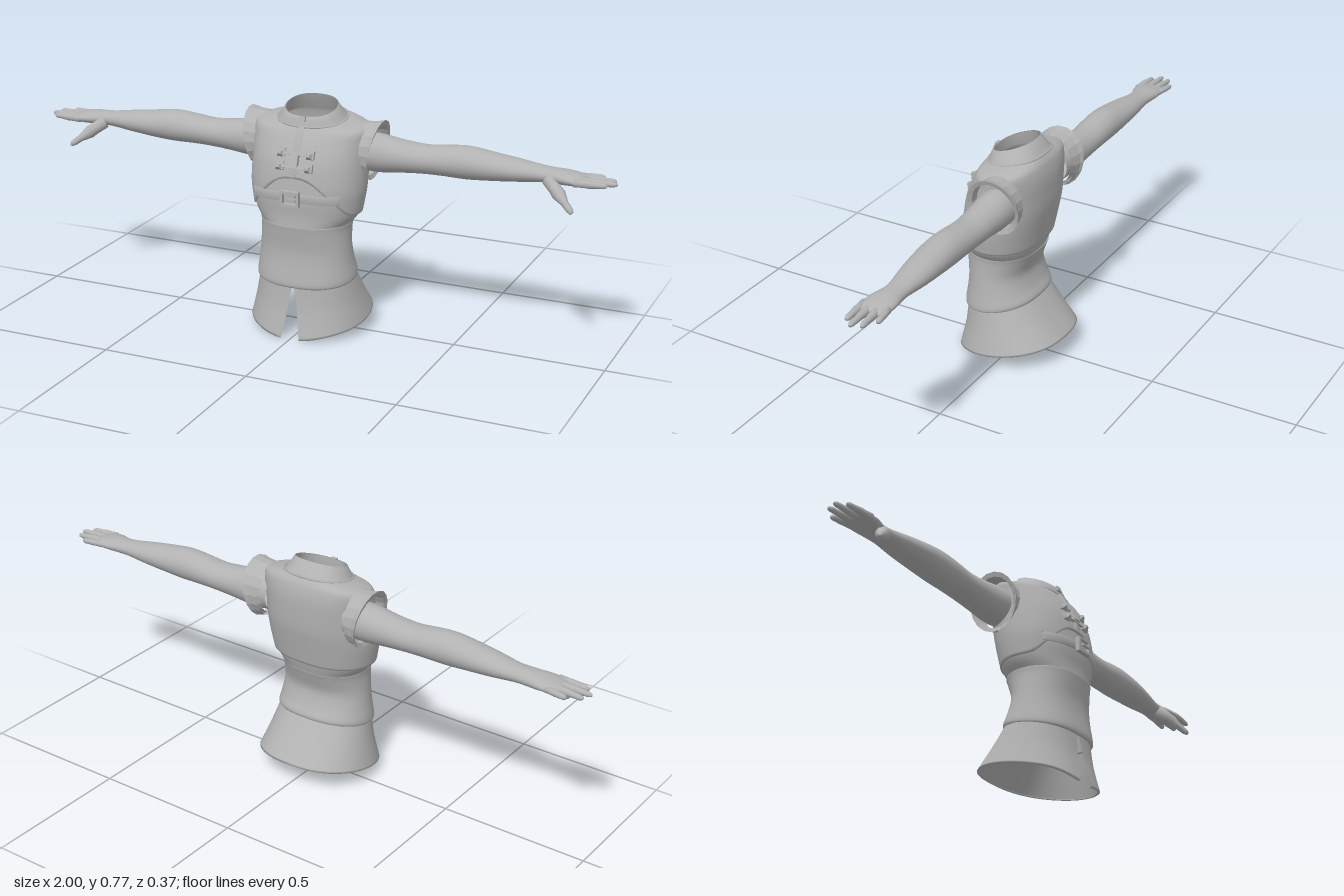
import * as THREE from 'three';

const grey = new THREE.MeshStandardMaterial({ color: 0xb2b2b2, side: THREE.DoubleSide });
grey.name = 'plain grey';

const lerp = THREE.MathUtils.lerp;

// Catmull-Rom sample of a list of section arrays at fractional index s
function sample(list, s) {
  const n = list.length - 1;
  const i = Math.max(0, Math.min(n - 1, Math.floor(s))), t = s - i;
  const [a, b, c, d] = [i - 1, i, i + 1, i + 2].map(k => list[Math.max(0, Math.min(n, k))]);
  return b.map((p, k) => p + 0.5 * t * (c[k] - a[k] +
    t * (2 * a[k] - 5 * p + 4 * c[k] - d[k] + t * (3 * (p - c[k]) + d[k] - a[k]))));
}

// Skin over a grid of points: point(u row, v column) -> [x, y, z]
function loft(name, rows, cols, closed, point) {
  const pos = [], index = [], w = closed ? cols : cols + 1;
  for (let i = 0; i <= rows; i++)
    for (let j = 0; j < w; j++) pos.push(...point(i, j / cols));
  for (let i = 0; i < rows; i++)
    for (let j = 0; j < cols; j++) {
      const k = (j + 1) % w, a = i * w + j, b = i * w + k, c = a + w, d = b + w;
      index.push(a, b, d, a, d, c);
    }
  const g = new THREE.BufferGeometry();
  g.setAttribute('position', new THREE.Float32BufferAttribute(pos, 3));
  g.setIndex(index);
  g.computeVertexNormals();
  return mesh(name, g);
}

function mesh(name, geometry) {
  const m = new THREE.Mesh(geometry, grey);
  m.name = name;
  return m;
}

function box(name, w, h, d, x, y, z, tilt = 0) {
  const m = mesh(name, new THREE.BoxGeometry(w, h, d));
  m.position.set(x, y, z);
  m.rotation.x = tilt;
  return m;
}

// Point on a body section [front y, back y, half width, front z, back z]; angle 0 is the front
function around([yf, yb, rx, zf, zb], a, inset = 0) {
  const c = Math.cos(a), s = Math.sin(a);
  return [
    (rx - inset) * Math.sign(s) * Math.abs(s) ** 0.8,
    lerp(yb, yf, (1 + c) / 2),
    (zf + zb) / 2 + ((zf - zb) / 2 - inset) * c
  ];
}

const TAU = Math.PI * 2;
const vestSections = [
  [0.42, 0.42, 0.183, 0.152, -0.092], [0.46, 0.46, 0.19, 0.155, -0.1],
  [0.50, 0.50, 0.195, 0.156, -0.108], [0.55, 0.55, 0.196, 0.150, -0.117],
  [0.60, 0.60, 0.195, 0.138, -0.12], [0.65, 0.66, 0.196, 0.115, -0.12],
  [0.68, 0.70, 0.195, 0.097, -0.112], [0.69, 0.717, 0.165, 0.09, -0.104],
  [0.70, 0.73, 0.112, 0.082, -0.094]
];
const bandSections = [
  [0.382, 0.382, 0.15, 0.15, -0.076], [0.42, 0.42, 0.176, 0.148, -0.087],
  [0.48, 0.48, 0.187, 0.151, -0.1], [0.57, 0.57, 0.188, 0.14, -0.112]
];
const waistSections = [
  [0.376, 0.376, 0.148, 0.15, -0.074], [0.385, 0.385, 0.153, 0.158, -0.082],
  [0.36, 0.36, 0.151, 0.155, -0.073], [0.30, 0.31, 0.154, 0.148, -0.058],
  [0.25, 0.26, 0.160, 0.151, -0.07], [0.19, 0.225, 0.168, 0.16, -0.087],
  [0.175, 0.21, 0.166, 0.155, -0.082], [0.18, 0.215, 0.158, 0.148, -0.077]
];
const skirtSections = [
  [0.19, 0.222, 0.160, 0.15, -0.078], [0.105, 0.155, 0.178, 0.160, -0.128],
  [0.02, 0.085, 0.2, 0.181, -0.185]
];

// Depth of the vest front at x, y
function frontZ(x, y) {
  let s = 0;
  while (s < 8 && sample(vestSections, s)[0] < y) s += 0.02;
  const sec = sample(vestSections, s);
  return around(sec, Math.asin(Math.min(1, Math.abs(x) / sec[2]) ** 1.25))[2];
}

function buildTorso(g) {
  // Vest, its lower edge lifted to an inverted V at the front
  g.add(loft('vest', 33, 64, true, (i, v) => {
    const a = v * TAU;
    const s0 = 2.9 * Math.max(0, Math.cos(a)) ** 3.5;
    return around(sample(vestSections, lerp(s0, 8, Math.max(0, i - 1) / 32)), a, i ? 0 : 0.008);
  }));
  g.add(loft('underBand', 12, 64, true, (i, v) => around(sample(bandSections, i / 4), v * TAU)));
  g.add(loft('waist', 35, 64, true, (i, v) => around(sample(waistSections, i / 5), v * TAU)));

  // Flared skirt with a slit at the front and a turned hem
  g.add(loft('skirt', 17, 72, false, (i, v) => {
    const t = Math.min(i, 16) / 16;
    const gap = 0.105 * t, a = lerp(gap, TAU - gap, v);
    const p = around(sample(skirtSections, t * 2), a, i > 16 ? 0.008 : 0);
    p[1] -= 0.016 * t * t * Math.max(0, Math.cos(a)) ** 10;
    return p;
  }));

  // Slanted collar with thickness, and the seam at its base
  const collar = [[0.698, 0.728, 0.114, 0.083, -0.095], [0.715, 0.745, 0.1, 0.079, -0.082],
    [0.73, 0.772, 0.088, 0.073, -0.062], [0.73, 0.77, 0.083, 0.067, -0.057],
    [0.69, 0.72, 0.1, 0.07, -0.082]];
  g.add(loft('collar', 4, 48, true, (i, v) => around(collar[i], v * TAU)));
  const seam = Array.from({ length: 32 }, (_, i) =>
    new THREE.Vector3(...around([0.698, 0.729, 0.116, 0.084, -0.096], i / 32 * TAU)));
  g.add(mesh('collarSeam', new THREE.TubeGeometry(new THREE.CatmullRomCurve3(seam, true), 64, 0.004, 6, true)));
  g.add(box('collarClasp', 0.022, 0.018, 0.012, 0, 0.722, 0.077, -0.3));
}

function buildFastenings(g) {
  // Front placket following the chest
  g.add(loft('placket', 12, 3, false, (i, v) => {
    const y = lerp(0.55, 0.70, i / 12), side = v === 0 || v === 1;
    return [(v < 0.5 ? -1 : 1) * 0.011, y, frontZ(0, y) + (side ? -0.006 : 0.005)];
  }));
  // Two rows of clasps with studs at the ends
  for (const y of [0.622, 0.582]) {
    const tilt = -0.38;
    g.add(box('claspBar', 0.1, 0.011, 0.008, 0, y, frontZ(0.03, y) + 0.004, tilt));
    for (const x of [-0.05, 0.05]) {
      const z = frontZ(x, y);
      g.add(box('claspPlate', 0.03, 0.028, 0.01, x, y, z + 0.002, tilt));
      const stud = mesh('claspStud', new THREE.CylinderGeometry(0.006, 0.016, 0.013, 4).toNonIndexed());
      stud.geometry.rotateY(Math.PI / 4);
      stud.geometry.computeVertexNormals();
      stud.position.set(x, y, z + 0.012);
      stud.rotation.x = Math.PI / 2 + tilt;
      g.add(stud);
    }
  }
  g.add(box('claspCentre', 0.03, 0.04, 0.012, 0, 0.602, frontZ(0, 0.602) + 0.006, -0.35));

  // Chest strap and its buckle
  g.add(loft('strap', 3, 32, false, (i, v) => {
    const x = lerp(-0.15, 0.15, v), y = (i === 0 || i === 3 ? 0 : 0.007);
    return [x, (i < 2 ? 0.472 : 0.5) - 0.05 * Math.abs(x), frontZ(x, 0.485) + y];
  }));
  g.add(box('buckleBase', 0.035, 0.026, 0.018, 0, 0.486, 0.166));
  for (const s of [-1, 1]) {
    g.add(box('buckleSide', 0.009, 0.048, 0.016, s * 0.028, 0.484, 0.174));
    g.add(box('buckleRail', 0.06, 0.009, 0.016, 0, 0.484 + s * 0.021, 0.174));
  }
  g.add(box('bucklePin', 0.04, 0.006, 0.008, 0.006, 0.485, 0.181));
}

// Tapered round-ended finger between two points
function finger(name, from, to, r0, r1) {
  const a = new THREE.Vector3(...from), b = new THREE.Vector3(...to), len = a.distanceTo(b);
  const profile = [[0, 0], [r0, 0.02], [r0 * 0.92, 0.3], [r0 * 0.98, 0.45], [r1 * 1.08, 0.7],
    [r1, 0.88], [r1 * 0.65, 0.97], [0, 1]].map(([r, t]) => new THREE.Vector2(r, t * len));
  const m = mesh(name, new THREE.LatheGeometry(profile, 12));
  m.position.copy(a);
  m.quaternion.setFromUnitVectors(new THREE.Vector3(0, 1, 0), b.sub(a).normalize());
  return m;
}

function buildArm() {
  const g = new THREE.Group();
  // Arm and palm: x, centre y, centre z, half height, half depth
  const arm = [
    [0.15, 0.61, -0.035, 0.06, 0.06], [0.22, 0.608, -0.035, 0.063, 0.062],
    [0.30, 0.606, -0.036, 0.053, 0.057], [0.38, 0.606, -0.037, 0.047, 0.055],
    [0.45, 0.61, -0.037, 0.05, 0.056], [0.52, 0.612, -0.037, 0.053, 0.056],
    [0.60, 0.61, -0.037, 0.045, 0.055], [0.68, 0.608, -0.04, 0.036, 0.049],
    [0.76, 0.606, -0.043, 0.026, 0.038], [0.80, 0.605, -0.043, 0.024, 0.039],
    [0.84, 0.605, -0.04, 0.022, 0.048], [0.88, 0.603, -0.038, 0.017, 0.05],
    [0.905, 0.602, -0.038, 0.01, 0.046], [0.912, 0.602, -0.038, 0.001, 0.03]
  ];
  g.add(loft('armAndPalm', 52, 28, true, (i, v) => {
    const [x, y, z, ry, rz] = sample(arm, i / 4), a = v * TAU;
    return [x, y + ry * Math.sin(a), z + rz * Math.cos(a)];
  }));
  [[0.003, 0.975, -0.004], [-0.024, 1.0, -0.032], [-0.051, 0.988, -0.064], [-0.077, 0.945, -0.09]]
    .forEach(([z, tip, tipZ], i) => g.add(finger('finger', [0.87, 0.603, z], [tip, 0.603, tipZ],
      i === 3 ? 0.011 : 0.013, 0.009)));
  g.add(finger('thumb', [0.785, 0.598, -0.02], [0.885, 0.52, 0.052], 0.022, 0.011));

  // Faceted armhole rim, widest over the shoulder
  const rim = [[0.17, 0, 0.088], [0.195, 0.015, 0.091], [0.198, 0.037, 0.097], [0.193, 0.037, 0.082], [0.165, 0, 0.078]];
  const cuff = loft('armholeRim', 4, 18, true, (i, v) => {
    const [x, flare, r] = rim[i], a = v * TAU, up = (1 + Math.sin(a)) / 2;
    return [x + flare * up, 0.616 + r * 1.03 * Math.sin(a), -0.031 + r * 0.94 * Math.cos(a)];
  });
  cuff.geometry = cuff.geometry.toNonIndexed();
  cuff.geometry.computeVertexNormals();
  g.add(cuff);
  return g;
}

export function createModel() {
  const model = new THREE.Group();
  model.name = 'armouredTorso';
  buildTorso(model);
  buildFastenings(model);
  for (const side of [1, -1]) {
    const arm = buildArm();
    arm.name = side > 0 ? 'leftArm' : 'rightArm';
    arm.scale.x = side;
    model.add(arm);
  }
  return model;
}
